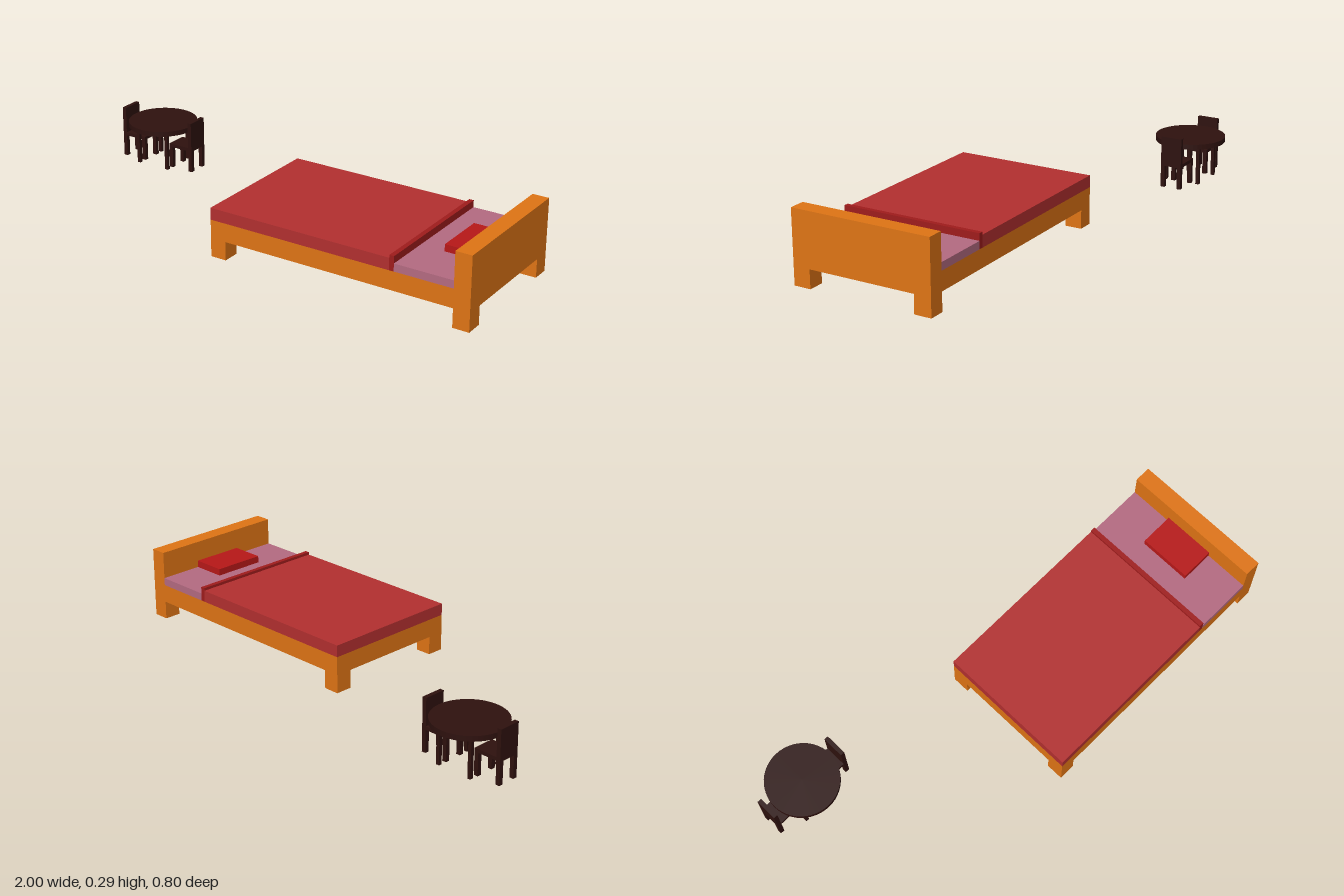
import * as THREE from 'three';

const mat = (color) => new THREE.MeshStandardMaterial({ color, flatShading: true });

// Box given by its minimum and maximum corners
function box(parent, name, material, [x0, y0, z0], [x1, y1, z1]) {
  const mesh = new THREE.Mesh(new THREE.BoxGeometry(x1 - x0, y1 - y0, z1 - z0), material);
  mesh.position.set((x0 + x1) / 2, (y0 + y1) / 2, (z0 + z1) / 2);
  mesh.name = name;
  parent.add(mesh);
  return mesh;
}

function createBed() {
  const bed = new THREE.Group();
  bed.name = 'bed';
  const wood = mat(0xe07515);
  const x0 = -0.09, xHead = 0.934, z0 = -0.181, z1 = 0.4, leg = 0.07;

  // Frame, headboard and four square legs
  box(bed, 'bedFrame', wood, [x0, 0.075, z0], [xHead, 0.15, z1]);
  box(bed, 'headboard', wood, [xHead, 0.075, z0], [1, 0.292, z1]);
  for (const x of [x0, xHead]) {
    for (const z of [z0, z1 - leg]) {
      box(bed, 'bedLeg', wood, [x, 0, z], [x + 0.066, 0.075, z + leg]);
    }
  }

  // Bedding
  box(bed, 'sheet', mat(0xb56b82), [0.697, 0.15, z0], [xHead, 0.181, z1]);
  box(bed, 'blanket', mat(0xb33030), [x0, 0.15, z0], [0.678, 0.198, z1]);
  box(bed, 'blanketFold', mat(0xa01c1c), [0.678, 0.15, z0], [0.697, 0.209, z1]);
  box(bed, 'pillow', mat(0xb81818), [0.795, 0.181, 0], [xHead, 0.209, 0.216]);
  return bed;
}

// Round table centred on its own origin
function createTable(wood) {
  const table = new THREE.Group();
  table.name = 'table';
  const top = new THREE.Mesh(new THREE.CylinderGeometry(0.144, 0.144, 0.021, 48), wood);
  top.position.y = 0.172;
  top.name = 'tableTop';
  table.add(top);
  for (const x of [-0.073, 0.073]) {
    for (const z of [-0.073, 0.073]) {
      box(table, 'tableLeg', wood, [x - 0.007, 0, z - 0.007], [x + 0.007, 0.162, z + 0.007]);
    }
  }
  return table;
}

// Chair on the -x side of the table, facing +x
function createChair(wood) {
  const chair = new THREE.Group();
  chair.name = 'chair';
  const xBack = -0.18, xFront = -0.065, half = 0.045, leg = 0.017;
  box(chair, 'chairSeat', wood, [xBack + leg, 0.091, -half], [xFront, 0.105, half]);
  box(chair, 'chairBack', wood, [xBack, 0.091, -half], [xBack + leg, 0.215, half]);
  for (const x of [xBack, xFront - leg]) {
    for (const z of [-half, half - leg]) {
      box(chair, 'chairLeg', wood, [x, 0, z], [x + leg, 0.091, z + leg]);
    }
  }
  return chair;
}

export function createModel() {
  const model = new THREE.Group();
  model.name = 'bedroomFurniture';
  model.add(createBed());

  // Table with a chair on either side
  const darkWood = mat(0x2e110e);
  const dining = new THREE.Group();
  dining.name = 'tableAndChairs';
  dining.position.set(-0.82, 0, -0.256);
  dining.add(createTable(darkWood));
  for (const turn of [0, Math.PI]) {
    const chair = createChair(darkWood);
    chair.rotation.y = turn;
    dining.add(chair);
  }
  model.add(dining);
  return model;
}
